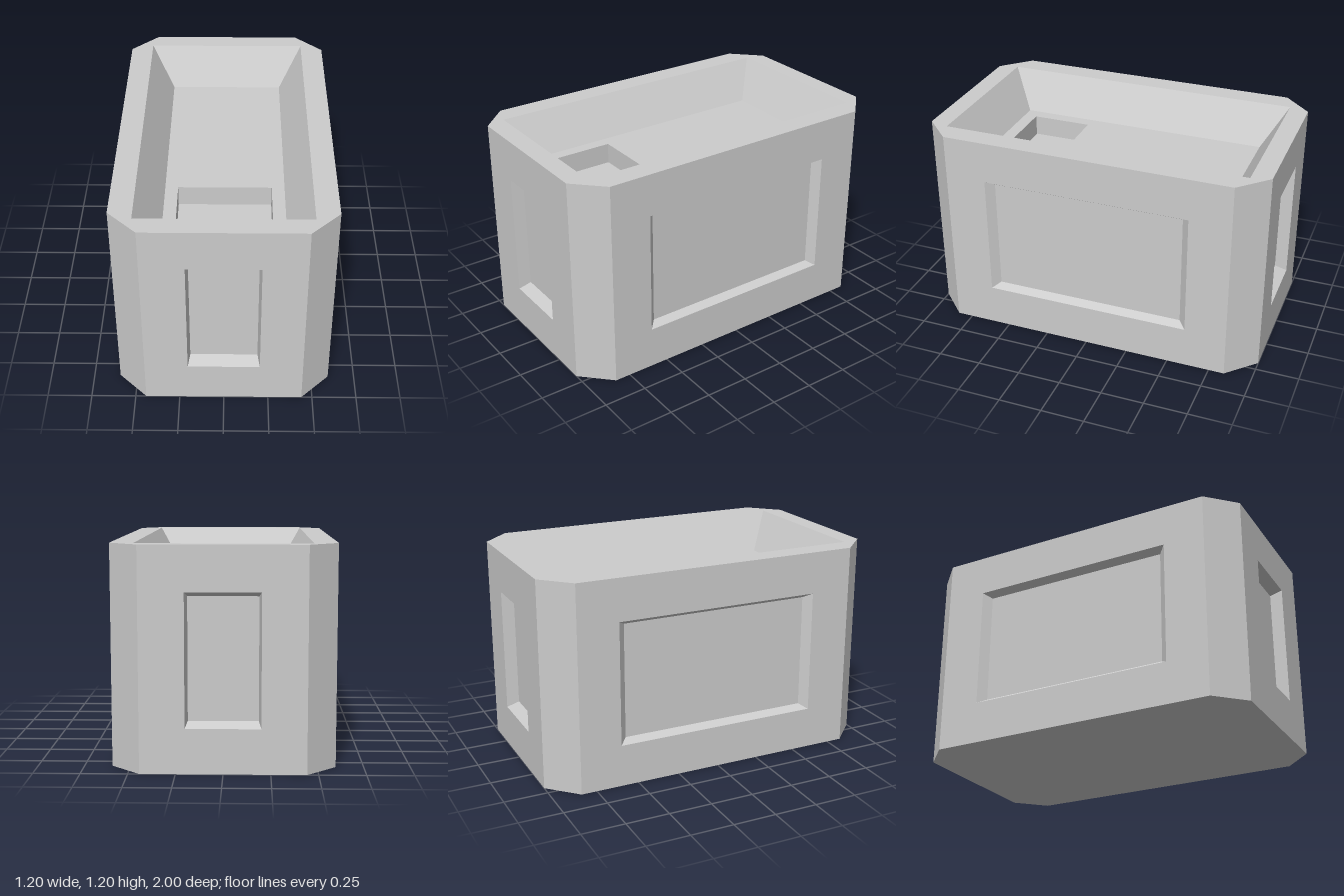
import * as THREE from 'three';

const W = 0.6, D = 1, H = 1.2;      // half width, half depth, height
const CX = 0.44, CZ = 0.84;         // where the corner chamfers begin

const material = new THREE.MeshStandardMaterial({ color: 0xcccccc, flatShading: true });

// Stepped recess facing +z: nested rectangles [x0, x1, y0, y1, z], the last one capped
function steppedRecess(rects) {
  const pos = [];
  const loops = rects.map(([x0, x1, y0, y1, z]) => [[x0, y0, z], [x1, y0, z], [x1, y1, z], [x0, y1, z]]);
  const quad = (a, b, c, d) => pos.push(...a, ...b, ...c, ...a, ...c, ...d);
  for (let i = 0; i + 1 < loops.length; i++) {
    for (let k = 0; k < 4; k++) {
      const n = (k + 1) % 4;
      quad(loops[i][k], loops[i][n], loops[i + 1][n], loops[i + 1][k]);
    }
  }
  quad(...loops[loops.length - 1]);
  const geo = new THREE.BufferGeometry();
  geo.setAttribute('position', new THREE.Float32BufferAttribute(pos, 3));
  geo.computeVertexNormals();
  return geo;
}

// Plan outline with chamfered corners
function outline() {
  return new THREE.Shape([
    [CX, -D], [W, -CZ], [W, CZ], [CX, D], [-CX, D], [-W, CZ], [-W, -CZ], [-CX, -D],
  ].map(([x, y]) => new THREE.Vector2(x, y)));
}

export function createModel() {
  const group = new THREE.Group();
  const add = (name, geo) => {
    const mesh = new THREE.Mesh(geo, material);
    mesh.name = name;
    group.add(mesh);
    return mesh;
  };

  // Four walls, each with a bevelled sunken panel
  const wall = (name, half, dist, open, inner, depth, turn) => add(name, steppedRecess([
    [-half, half, 0, H, dist],
    [-open, open, 0.243, 0.957, dist],
    [-inner, inner, 0.27, 0.93, dist - depth],
  ]).rotateY(turn));
  wall('frontWall', CX, D, 0.2, 0.187, 0.07, 0);
  wall('backWall', CX, D, 0.2, 0.187, 0.07, Math.PI);
  wall('leftWall', CZ, W, 0.6, 0.557, 0.043, Math.PI / 2);
  wall('rightWall', CZ, W, 0.6, 0.557, 0.043, -Math.PI / 2);

  // Chamfered corners
  const length = Math.hypot(W - CX, D - CZ);
  for (const sx of [1, -1]) {
    for (const sz of [1, -1]) {
      const corner = add('chamferedCorner', new THREE.PlaneGeometry(length, H));
      corner.position.set(sx * (W + CX) / 2, H / 2, sz * (D + CZ) / 2);
      corner.rotation.y = Math.atan2(sx * (D - CZ), sz * (W - CX));
    }
  }

  // Top rim around the opening
  const rim = outline();
  const hx = 0.47, hz = 0.887;
  rim.holes.push(new THREE.Path([[-hx, -hz], [-hx, hz], [hx, hz], [hx, -hz]]
    .map(([x, y]) => new THREE.Vector2(x, y))));
  add('topRim', new THREE.ShapeGeometry(rim).rotateX(-Math.PI / 2).translate(0, H, 0));

  // Sloped tray with a small straight pit towards the front
  add('tray', steppedRecess([
    [-hx, hx, -hz, hz, H],
    [-0.335, 0.335, -0.747, 0.75, 0.976],
    [-0.263, 0.263, -0.672, -0.322, 0.976],
    [-0.263, 0.263, -0.672, -0.322, 0.856],
  ]).rotateX(-Math.PI / 2));

  // Underside
  add('base', new THREE.ShapeGeometry(outline()).rotateX(Math.PI / 2));

  return group;
}
